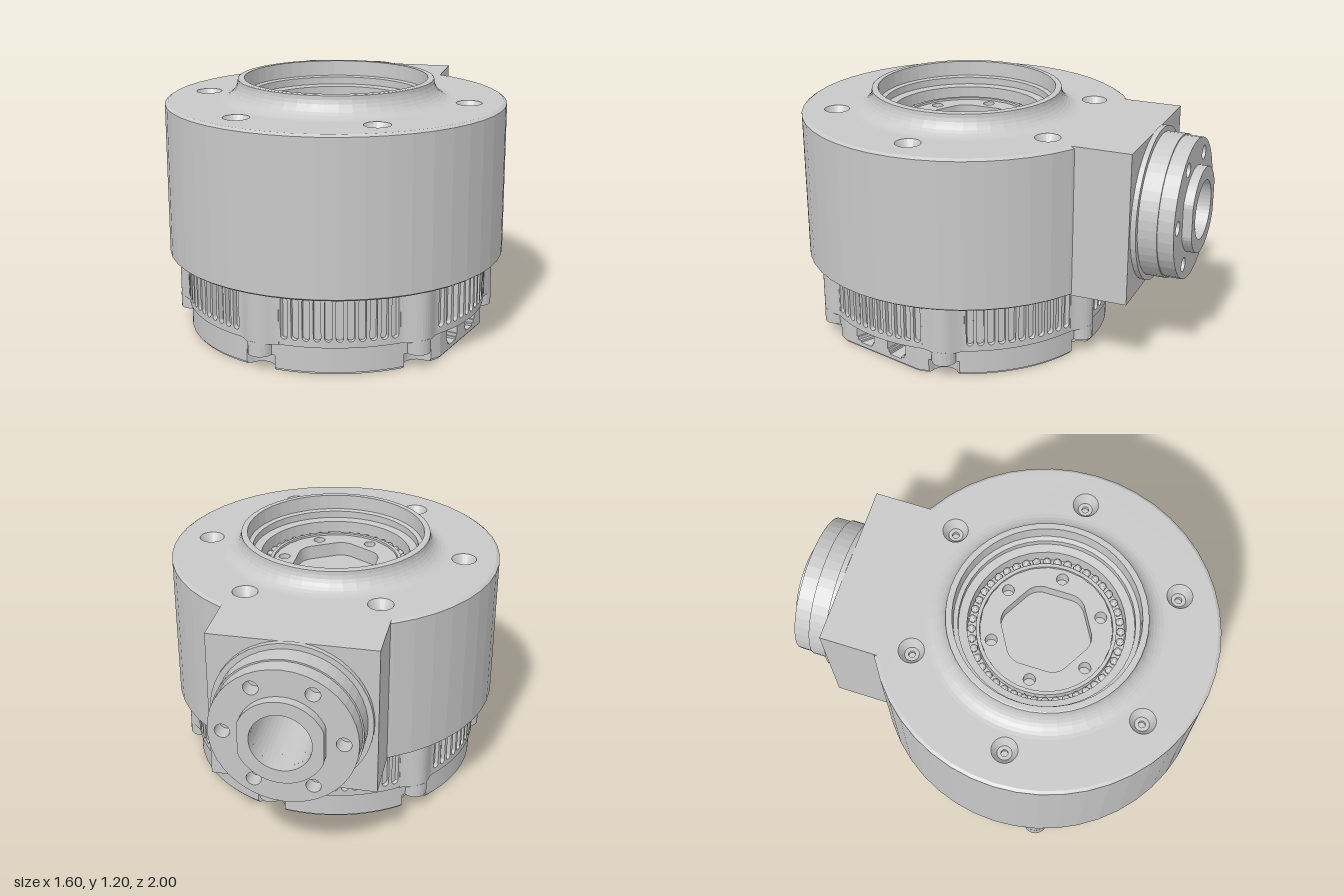
import * as THREE from 'three';
import { mergeGeometries } from 'three/addons/utils/BufferGeometryUtils.js';

const TAU = Math.PI * 2, DEG = Math.PI / 180;

export function createModel() {
  const metal = new THREE.MeshStandardMaterial({ color: 0xc8c8c8 });
  metal.name = 'machined grey';
  const model = new THREE.Group();
  model.name = 'rotaryActuator';
  const drum = new THREE.Group();       // everything on the vertical axis
  drum.name = 'drum';
  drum.position.z = 0.2;
  model.add(drum);

  // ---- helpers ----
  const flat = (g) => {
    const f = g.index ? g.toNonIndexed() : g;
    f.computeVertexNormals();
    return f;
  };
  const add = (parent, name, parts) => {
    const mesh = new THREE.Mesh(mergeGeometries([parts].flat().map(flat)), metal);
    mesh.name = name;
    parent.add(mesh);
  };
  const lathe = (pts, seg = 48) => new THREE.LatheGeometry(pts.map((p) => new THREE.Vector2(...p)), seg);
  const circle = (r, x = 0, y = 0, Type = THREE.Shape) => {
    const s = new Type();
    s.absarc(x, y, r, 0, TAU);
    return s;
  };
  const hole = (r, x = 0, y = 0) => circle(r, x, y, THREE.Path);
  const withHoles = (shape, holes) => { shape.holes.push(...holes); return shape; };
  const extrude = (shape, depth, seg = 24) =>
    new THREE.ExtrudeGeometry(shape, { depth, bevelEnabled: false, curveSegments: seg });
  const upright = (shape, y0, y1, seg) =>
    extrude(shape, y1 - y0, seg).rotateX(-Math.PI / 2).translate(0, y0, 0);
  const along = (shape, z0, z1, y, seg) => extrude(shape, z1 - z0, seg).translate(0, y, z0);
  // point on a circle, angle in degrees from the front towards +x, in shape space
  const at = (r, deg) => [r * Math.sin(deg * DEG), -r * Math.cos(deg * DEG)];
  const six = (start) => [0, 1, 2, 3, 4, 5].map((i) => start + i * 60);
  const polar = (radius, step = 1) => {
    const pts = [];
    for (let a = 0; a < 360; a += step) pts.push(new THREE.Vector2(...at(radius(a), a)));
    return new THREE.Shape(pts);
  };
  const lugAngles = six(-15), panelAngles = six(15), boltAngles = six(30);
  // degrees away from the nearest lug
  const fromLug = (a) => Math.abs(((a + 15 + 30 + 360) % 60) - 30);

  // ---- main body ----
  add(drum, 'bodyShell', lathe([[0, 0.375], [0.785, 0.375], [0.8, 0.385], [0.8, 1.095], [0.785, 1.105]]));
  const mounts = boltAngles.map((a) => at(0.63, a));
  const lidHoles = mounts.map(([x, y]) => hole(0.06, x, y));
  add(drum, 'bodyLid', upright(withHoles(circle(0.785), [hole(0.5), ...lidHoles]), 1.06, 1.105));
  // countersunk seats with socket screws
  add(drum, 'mountingScrews', mounts.flatMap(([x, y]) => [
    lathe([[0.061, 1.105], [0.034, 1.06], [0.034, 1.045]], 24).translate(x, 0, -y),
    upright(withHoles(circle(0.036, x, y), [hole(0.016, x, y)]), 1.03, 1.055, 12),
    upright(circle(0.03, x, y), 1.01, 1.035, 12),
  ]));

  // ---- raised collar and output hub ----
  const collar = [];
  for (let i = 0; i <= 8; i++) {
    const t = (270 - i * 11.25) * DEG;
    collar.push([0.555 + 0.095 * Math.cos(t), 1.195 + 0.095 * Math.sin(t) + 0.005]);
  }
  collar.push([0.455, 1.203], [0.43, 1.203], [0.427, 1.13], [0.405, 1.125], [0.405, 1.09],
    [0.365, 1.085], [0.365, 1.0], [0.3, 1.0]);
  add(drum, 'collar', lathe(collar));

  const balls = [];
  for (let i = 0; i < 44; i++) {
    const [x, z] = at(0.346, (i * 360) / 44);
    balls.push(new THREE.SphereGeometry(0.02, 8, 6).translate(x, 1.015, z));
  }
  add(drum, 'bearingBalls', balls);

  // hexagonal socket with softened corners
  const hexPath = new THREE.Path();
  for (let i = 0; i < 6; i++) {
    const corner = at(0.225, i * 60), before = at(0.21, i * 60 - 11), after = at(0.21, i * 60 + 11);
    if (i === 0) hexPath.moveTo(...before); else hexPath.lineTo(...before);
    hexPath.quadraticCurveTo(...corner, ...after);
  }
  hexPath.closePath();
  const hubHoles = boltAngles.map((a) => hole(0.028, ...at(0.26, a)));
  add(drum, 'outputHub', [
    upright(withHoles(circle(0.325), [hole(0.308)]), 0.98, 1.045),
    upright(withHoles(circle(0.308), [hexPath, ...hubHoles]), 0.96, 1.035, 12),
    upright(circle(0.31), 0.93, 0.965),
  ]);

  // ---- ventilated lower housing, swelling outwards at each lug ----
  add(drum, 'housingCore', upright(polar((a) => {
    const d = fromLug(a);
    return d <= 8.5 ? 0.738 + 0.021 * Math.cos((Math.PI * d) / 8.5) : 0.693;
  }), 0.13, 0.38));

  const halfCell = 0.716 * Math.tan(2 * DEG), halfSlot = 0.0165;
  const cell = new THREE.Shape();
  cell.moveTo(-halfCell, 0.13).lineTo(halfCell, 0.13).lineTo(halfCell, 0.38).lineTo(-halfCell, 0.38);
  const slot = new THREE.Path();
  slot.absarc(0, 0.338, halfSlot, 0, Math.PI);
  slot.absarc(0, 0.175, halfSlot, Math.PI, TAU);
  slot.closePath();
  cell.holes.push(slot);
  const cellGeometry = extrude(cell, 0.03, 5).translate(0, 0, 0.686);
  const grilles = panelAngles.flatMap((p) =>
    Array.from({ length: 11 }, (_, i) => cellGeometry.clone().rotateY((p + (i - 5) * 4) * DEG)));
  add(drum, 'ventGrilles', grilles);

  add(drum, 'screwLugs', lugAngles.flatMap((a) => {
    const [x, y] = at(0.702, a);
    return [
      upright(withHoles(circle(0.058, x, y), [hole(0.028, x, y)]), 0.07, 0.13, 10),
      upright(circle(0.058, x, y), 0.1, 0.14, 10),
    ];
  }));

  // ---- base cover, in layers: screw notches below, cable ports in a flat on one side ----
  const baseOutline = (inset, notched, port) => polar((a) => {
    const c = Math.cos((a - 75) * DEG), s = Math.sin((a - 75) * DEG);
    let r = 0.705 - inset;
    if (c > 0.9) r = Math.min(r, (0.665 - inset) / c);
    if (notched) {
      const d = fromLug(a) * DEG * 0.7;
      if (d < 0.066) r = Math.min(r, 0.702 - Math.sqrt(0.066 ** 2 - d * d));
    }
    if (c > 0.9 && Math.abs(Math.abs(s * 0.665) - 0.098) < port) r = 0.52;
    return r;
  }, 0.75);
  const pinHoles = panelAngles.map((a) => hole(0.012, ...at(0.61, a)));
  add(drum, 'baseCover', [
    upright(withHoles(baseOutline(0.008, true, 0), pinHoles), 0, 0.01, 6),
    ...[[0.01, 0.03, true, 0], [0.03, 0.04, true, 0.03], [0.04, 0.055, true, 0.045],
      [0.055, 0.07, true, 0.054], [0.07, 0.11, false, 0.054], [0.11, 0.122, false, 0.042],
      [0.122, 0.131, false, 0]].map(([y0, y1, n, p]) => upright(baseOutline(0, n, p), y0, y1)),
  ]);

  // ---- rear block and output flange ----
  const axisY = 0.742, boreR = 0.14;
  const block = new THREE.Shape();
  block.moveTo(-0.385, -0.365).lineTo(0.385, -0.365).lineTo(0.385, 0.363).lineTo(-0.385, 0.363);
  add(model, 'rearBlock', along(withHoles(block, [hole(boreR)]), -0.765, -0.45, axisY));

  const flangeBolts = six(30).map((a) => hole(0.034, ...at(0.268, a)));
  const nose = polar((a) => Math.min(0.205, 0.19 / Math.max(0.01, Math.abs(Math.sin(a * DEG)))), 5);
  add(model, 'rearFlange', [
    along(withHoles(circle(0.368), [hole(boreR)]), -0.79, -0.765, axisY),
    along(withHoles(circle(0.342), [hole(boreR)]), -0.88, -0.79, axisY),
    along(withHoles(circle(0.335), [hole(boreR), ...flangeBolts]), -0.955, -0.88, axisY, 20),
    along(withHoles(nose, [hole(boreR)]), -1, -0.955, axisY),
  ]);

  return model;
}
